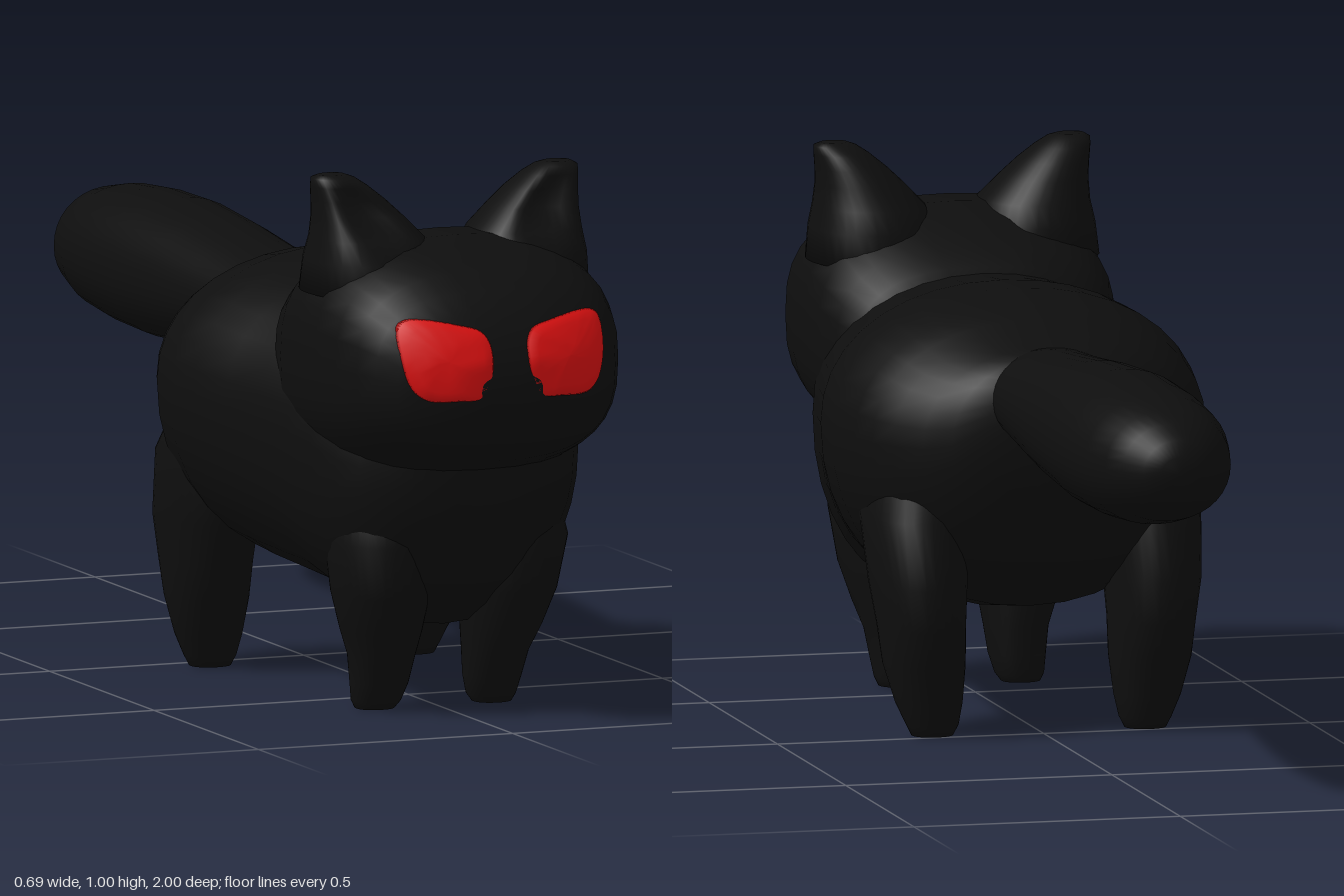
import * as THREE from 'three';

const SEG = 36;

// Closed skin over a list of rings, with a centre point at either end
function skin(rings) {
  const pos = [], idx = [], n = rings[0].length;
  for (const ring of rings) for (const p of ring) pos.push(p.x, p.y, p.z);
  for (let i = 0; i < rings.length - 1; i++) {
    for (let j = 0; j < n; j++) {
      const k = (j + 1) % n;
      const a = i * n + j, b = i * n + k, c = a + n, d = b + n;
      idx.push(a, b, c, b, d, c);
    }
  }
  [0, rings.length - 1].forEach((r, end) => {
    const mid = rings[r].reduce((s, p) => s.add(p), new THREE.Vector3()).divideScalar(n);
    const m = pos.length / 3;
    pos.push(mid.x, mid.y, mid.z);
    for (let j = 0; j < n; j++) {
      const a = r * n + j, b = r * n + (j + 1) % n;
      end ? idx.push(a, b, m) : idx.push(b, a, m);
    }
  });
  const g = new THREE.BufferGeometry();
  g.setAttribute('position', new THREE.Float32BufferAttribute(pos, 3));
  g.setIndex(idx);
  g.computeVertexNormals();
  return g;
}

// Rounded-square cosine and sine for one step round a ring
function around(j, power) {
  const t = (j / SEG) * Math.PI * 2, c = Math.cos(t), s = Math.sin(t), e = 2 / power;
  return [Math.sign(c) * Math.abs(c) ** e, Math.sign(s) * Math.abs(s) ** e];
}

// Stations along z: [z, half width, top, widest height, bottom]
function loftZ(stations, power) {
  return skin(stations.map(([z, w, top, mid, bot]) =>
    Array.from({ length: SEG }, (_, j) => {
      const [c, s] = around(j, power);
      return new THREE.Vector3(w * c, mid + s * (s > 0 ? top - mid : mid - bot), z);
    })));
}

// Stations along y: [y, centre x, centre z, radius x, radius z, dent in the front]
function loftY(stations, side) {
  return skin(stations.map(([y, cx, cz, rx, rz, dent = 0]) =>
    Array.from({ length: SEG }, (_, j) => {
      const [c, s] = around(j, 2.2);
      const hollow = dent * Math.max(0, -s) ** 5;
      return new THREE.Vector3(side * cx + rx * c, y, cz - rz * s - hollow);
    })));
}

const BODY = [
  [-0.135, 0.07, 0.65, 0.57, 0.49], [-0.12, 0.14, 0.69, 0.56, 0.44], [-0.09, 0.195, 0.71, 0.55, 0.37],
  [-0.05, 0.24, 0.72, 0.54, 0.31], [0, 0.285, 0.735, 0.54, 0.27], [0.05, 0.31, 0.755, 0.54, 0.24],
  [0.1, 0.33, 0.772, 0.54, 0.22], [0.2, 0.347, 0.79, 0.54, 0.205], [0.3, 0.342, 0.79, 0.54, 0.197],
  [0.4, 0.32, 0.78, 0.53, 0.19], [0.5, 0.298, 0.78, 0.52, 0.183], [0.6, 0.28, 0.78, 0.51, 0.155],
  [0.67, 0.262, 0.77, 0.5, 0.155], [0.73, 0.24, 0.74, 0.48, 0.19], [0.78, 0.21, 0.7, 0.47, 0.24],
  [0.82, 0.17, 0.64, 0.46, 0.3], [0.845, 0.1, 0.56, 0.45, 0.36],
];
const HEAD = [
  [0.4, 0.16, 0.73, 0.62, 0.5], [0.45, 0.235, 0.79, 0.63, 0.46], [0.5, 0.262, 0.82, 0.64, 0.44],
  [0.57, 0.28, 0.86, 0.65, 0.43], [0.65, 0.285, 0.882, 0.66, 0.43], [0.74, 0.283, 0.882, 0.66, 0.44],
  [0.82, 0.275, 0.862, 0.66, 0.455], [0.88, 0.257, 0.835, 0.66, 0.475], [0.92, 0.235, 0.805, 0.655, 0.49],
  [0.95, 0.205, 0.77, 0.645, 0.508], [0.975, 0.165, 0.73, 0.64, 0.53], [0.99, 0.115, 0.695, 0.635, 0.56],
  [1.0, 0.06, 0.66, 0.63, 0.595],
];
const TAIL = [
  [-1.0, 0.035, 0.66, 0.63, 0.6], [-0.985, 0.065, 0.69, 0.63, 0.57], [-0.95, 0.095, 0.715, 0.63, 0.548],
  [-0.91, 0.118, 0.735, 0.63, 0.53], [-0.83, 0.136, 0.75, 0.63, 0.512], [-0.72, 0.144, 0.758, 0.63, 0.503],
  [-0.58, 0.145, 0.76, 0.63, 0.5], [-0.4, 0.138, 0.748, 0.63, 0.51], [-0.25, 0.131, 0.733, 0.63, 0.527],
  [-0.12, 0.125, 0.722, 0.63, 0.545], [0.02, 0.12, 0.715, 0.63, 0.55],
];
const FRONT_LEG = [
  [0, 0.115, 0.618, 0.036, 0.034], [0.015, 0.113, 0.62, 0.045, 0.045], [0.05, 0.111, 0.63, 0.052, 0.058],
  [0.1, 0.112, 0.642, 0.058, 0.073], [0.15, 0.118, 0.655, 0.07, 0.092], [0.22, 0.125, 0.67, 0.085, 0.108],
  [0.32, 0.13, 0.68, 0.095, 0.125], [0.45, 0.12, 0.66, 0.08, 0.1],
];
const REAR_LEG = [
  [0, 0.2, 0.037, 0.038, 0.035], [0.02, 0.2, 0.037, 0.048, 0.046], [0.06, 0.205, 0.042, 0.061, 0.06],
  [0.13, 0.212, 0.05, 0.074, 0.087], [0.2, 0.216, 0.055, 0.077, 0.118], [0.28, 0.22, 0.065, 0.085, 0.138],
  [0.4, 0.22, 0.1, 0.092, 0.15], [0.5, 0.2, 0.12, 0.08, 0.12],
];
const EAR = [
  [0.78, 0.145, 0.67, 0.125, 0.14], [0.84, 0.15, 0.675, 0.113, 0.14, 0.01], [0.88, 0.155, 0.678, 0.1, 0.122, 0.035],
  [0.92, 0.173, 0.675, 0.079, 0.098, 0.045], [0.95, 0.19, 0.673, 0.064, 0.08, 0.035],
  [0.975, 0.207, 0.672, 0.05, 0.06, 0.015], [0.99, 0.219, 0.672, 0.039, 0.042], [0.996, 0.222, 0.672, 0.025, 0.022],
];
const EYE = [
  [0.2, 0.75], [0.185, 0.762], [0.15, 0.763], [0.09, 0.752], [0.05, 0.74], [0.036, 0.72],
  [0.034, 0.68], [0.042, 0.64], [0.058, 0.618], [0.1, 0.615], [0.155, 0.616], [0.182, 0.635], [0.198, 0.68],
];

// Thin eye plate that follows the curve of the face
function eyeGeometry(head, side) {
  const ray = new THREE.Raycaster();
  const outline = new THREE.CatmullRomCurve3(EYE.map(([x, y]) => new THREE.Vector3(x, y, 0)), true).getPoints(48).slice(0, 48);
  if (side < 0) outline.reverse();
  const layers = [[0.02, 0.007], [0.25, 0.007], [0.5, 0.007], [0.75, 0.007], [0.95, 0.006], [1, -0.002]];
  const rings = layers.map(([k, lift]) => outline.map((p) => {
    const x = side * (0.118 + (p.x - 0.118) * k), y = 0.688 + (p.y - 0.688) * k;
    ray.set(new THREE.Vector3(x, y, 2), new THREE.Vector3(0, 0, -1));
    const hit = ray.intersectObject(head)[0];
    return new THREE.Vector3(x, y, Math.min((hit ? hit.point.z : 0.88) + lift, 1));
  }));
  return skin(rings.reverse());
}

export function createModel() {
  const black = new THREE.MeshStandardMaterial({ color: 0x0e0e0e });
  black.name = 'black fur';
  const red = new THREE.MeshStandardMaterial({ color: 0xd91010 });
  red.name = 'red eyes';

  const model = new THREE.Group();
  model.name = 'cat';
  const add = (name, geometry, material = black) => {
    const mesh = new THREE.Mesh(geometry, material);
    mesh.name = name;
    model.add(mesh);
    return mesh;
  };

  add('body', loftZ(BODY, 2.15));
  add('tail', loftZ(TAIL, 2.1));
  const head = add('head', loftZ(HEAD, 2.7));

  // Paired parts
  for (const [label, side] of [['left', 1], ['right', -1]]) {
    add(label + 'FrontLeg', loftY(FRONT_LEG, side));
    add(label + 'RearLeg', loftY(REAR_LEG, side));
    add(label + 'Ear', loftY(EAR, side));
    add(label + 'Eye', eyeGeometry(head, side), red);
  }
  return model;
}
